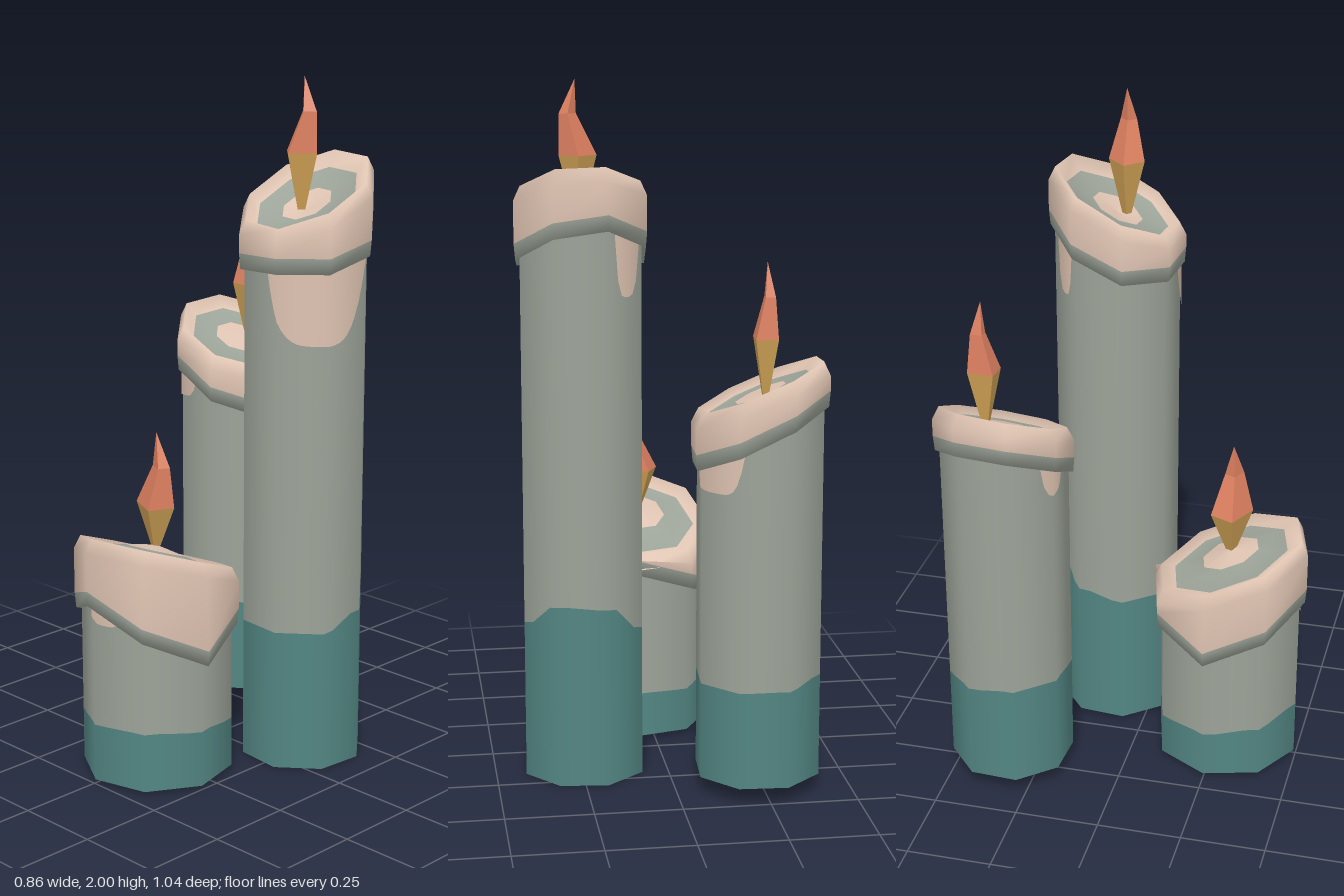
import * as THREE from 'three';

const mat = (name, color) => {
  const m = new THREE.MeshStandardMaterial({ color });
  m.name = name;
  return m;
};

const { lerp, degToRad, clamp } = THREE.MathUtils;

// Heights round the candle are waves: [mean, swing, octagon corner of the peak].
// Corners count from +x towards +z. Drips are [first corner, last corner, lowest y].
const CANDLES = [
  {
    name: 'mediumCandle', x: -0.238, z: -0.335, phase: 26, base: 0.05, rim: 0.2, flare: 0, centre: 1.15,
    top: [1.17, 0.078, 3.7], edge: [1.03, 0.095, 3.6], ripple: [0, 0, 0],
    dip: [0.34, 0.022, 2.5], dipFloor: 0.33,
    drips: [[1.5, 2.3, 0.98], [5.9, 7.3, 0.89]],
    flame: { x: -0.2425, z: -0.385, w: 0.062, d: 0.077, turn: 4, belly: 1.31, tip: 1.52, lean: [-0.008, -0.012] },
  },
  {
    name: 'tallCandle', x: 0.238, z: -0.12, phase: 28, base: 0, rim: 0.2, flare: 0, centre: 1.63,
    top: [1.685, 0.092, 5.4], edge: [1.515, 0.065, 5.3], ripple: [0, 0.022, 1.2],
    dip: [0.4, 0.14, 5.6], dipFloor: 0.42,
    drips: [[-1, 1.3, 1.27], [4.1, 4.8, 1.41]],
    flame: { x: 0.241, z: -0.094, w: 0.071, d: 0.081, turn: 45, belly: 1.79, tip: 2, lean: [0.028, 0] },
  },
  {
    name: 'shortCandle', x: 0.03, z: 0.277, phase: 8, base: 0.01, rim: 0.24, flare: 0.014, centre: 0.68,
    top: [0.66, 0.085, 1.6], edge: [0.465, 0.012, 3], ripple: [0, 0.07, 2],
    dip: [0.163, 0.022, 1.2], dipFloor: 0.14,
    drips: [[1.4, 2.1, 0.49]],
    flame: { x: 0.03, z: 0.278, w: 0.105, d: 0.078, turn: 25, belly: 0.8, tip: 1.015, lean: [0.026, 0] },
  },
];

const wave = ([mean, swing, peak], k, cycles = 1) =>
  mean + swing * Math.cos(degToRad(45 * cycles * (k - peak)));

// Evaluate a height rule at the corners and run straight (or, with ease, stepwise) between them
const between = (rule, u, ease = (f) => f) => {
  const k = Math.floor(u);
  return lerp(rule(k), rule(k + 1), ease(u - k));
};
const step = (f) => clamp((f - 0.2) / 0.6, 0, 1);

const range = (from, to, by) =>
  Array.from({ length: Math.round((to - from) / by) + 1 }, (_, i) => Math.round((from + i * by) * 100) / 100);

// Skin rows of points, bottom to top; each row gets its own group so rows may differ in colour.
function loft(rows, closed, rowMaterials) {
  const n = rows[0].length, index = [], geo = new THREE.BufferGeometry();
  for (let i = 0; i < rows.length - 1; i++) {
    const start = index.length;
    for (let j = 0; j < (closed ? n : n - 1); j++) {
      const a = i * n + j, b = i * n + (j + 1) % n;
      index.push(a, a + n, b, b, a + n, b + n);
    }
    if (rowMaterials) geo.addGroup(start, index.length - start, rowMaterials[i]);
  }
  geo.setAttribute('position', new THREE.Float32BufferAttribute(rows.flat(2), 3));
  geo.setIndex(index);
  geo.computeVertexNormals();
  return geo;
}

// Turn wall normals straight out from the candle's axis for soft shading.
function roundNormals(geo) {
  const p = geo.attributes.position, v = new THREE.Vector3();
  for (let i = 0; i < p.count; i++) {
    v.set(p.getX(i), 0, p.getZ(i)).normalize();
    geo.attributes.normal.setXYZ(i, v.x, 0, v.z);
  }
  return geo;
}

function buildCandle(c, m) {
  const group = new THREE.Group();
  group.name = c.name;
  const add = (name, geo, material) => {
    const mesh = new THREE.Mesh(geo, material);
    mesh.name = name;
    group.add(mesh);
  };
  // Point on the octagon outline at corner number u
  const point = (u, r, y) => {
    const corner = (k) => degToRad(c.phase + 45 * k);
    return [r * between((k) => Math.cos(corner(k)), u), y, r * between((k) => Math.sin(corner(k)), u)];
  };
  const corners = range(0, 7, 1), perimeter = range(0, 7.75, 0.25);
  const bodyR = c.rim * 0.915;
  const top = (k) => wave(c.top, k);
  const edge = (k) => wave(c.edge, k) + wave(c.ripple, k, 2);
  const dip = (k) => Math.max(c.dipFloor, wave(c.dip, k));
  const dipLine = (u) => between(dip, u, step);
  const underCap = (u) => between(edge, u) + 0.02;

  // Body: dipped foot, plain wall and underside
  const wall = (low, high) =>
    roundNormals(loft([low, high].map((y) => perimeter.map((u) => point(u, bodyR, y(u)))), true));
  add('dippedFoot', wall(() => c.base, dipLine), m.teal);
  add('body', wall(dipLine, underCap), m.wax);
  add('underside', loft([0, bodyR].map((r) => corners.map((k) => point(k, r, c.base))), true), m.teal);

  // Melted cap: lower lip, outer wall, crest, then the sunken pool
  const ring = (r, y, flare = 0) => corners.map((k) => point(k, r + (k === 0 ? flare : 0), y(k)));
  const crestR = c.rim - 0.02;
  const pool = (r, drop) => ring(r, (k) => lerp(c.centre, top(k), r / crestR) - drop);
  const rows = [
    ring(bodyR - 0.01, (k) => edge(k) + 0.01),
    ring(c.rim - 0.004, edge, c.flare),
    ring(c.rim, (k) => edge(k) + 0.045, c.flare),
    ring(c.rim, (k) => top(k) - 0.04, c.flare * 0.6),
    ring(crestR, top),
    pool(c.rim * 0.735, 0.02),
    pool(c.rim * 0.36, 0.01),
    pool(0, 0),
  ];
  add('meltedCap', loft(rows, true, [0, 0, 1, 1, 1, 0, 1]), [m.wax, m.pale]);

  // Pale drips: rounded tongues running down the wall below the cap
  for (const [from, to, lowest] of c.drips) {
    const tongue = (u) => {
      const t = Math.abs((2 * u - from - to) / (to - from));
      return lerp(Math.min(lowest, underCap(u)), underCap(u), t ** 4);
    };
    const strip = [tongue, underCap].map((y) =>
      range(from, to, 0.1).map((u) => point(u, bodyR + 0.004, y(u))));
    add('drip', roundNormals(loft(strip, false)), m.pale);
  }

  // Flame: faceted four-sided spindle, gold below and orange above, bent at the neck
  const f = c.flame, turn = degToRad(f.turn);
  const square = (y, size, bend) => [[1, -1], [1, 1], [-1, 1], [-1, -1]].map(([sx, sz]) => {
    const px = sx * f.w * size / 2, pz = sz * f.d * size / 2;
    return [
      f.x - c.x + f.lean[0] * bend + px * Math.cos(turn) - pz * Math.sin(turn), y,
      f.z - c.z + f.lean[1] * bend + px * Math.sin(turn) + pz * Math.cos(turn),
    ];
  });
  const facet = (part) => {
    const g = loft(part, true).toNonIndexed();
    g.computeVertexNormals();
    return g;
  };
  const belly = square(f.belly, 1, 0);
  add('flameBase', facet([square(c.centre, 0.26, 0), belly]), m.gold);
  add('flameTip', facet([belly, square(lerp(f.belly, f.tip, 0.55), 0.45, 1), square(f.tip, 0, 0.25)]), m.orange);

  group.position.set(c.x, 0, c.z);
  return group;
}

export function createModel() {
  const m = {
    wax: mat('greyWax', 0x9ca398),
    pale: mat('paleWax', 0xdec3b1),
    teal: mat('tealWax', 0x528582),
    gold: mat('flameGold', 0xcfa255),
    orange: mat('flameOrange', 0xdd8060),
  };
  const model = new THREE.Group();
  model.name = 'candles';
  for (const c of CANDLES) model.add(buildCandle(c, m));
  return model;
}
